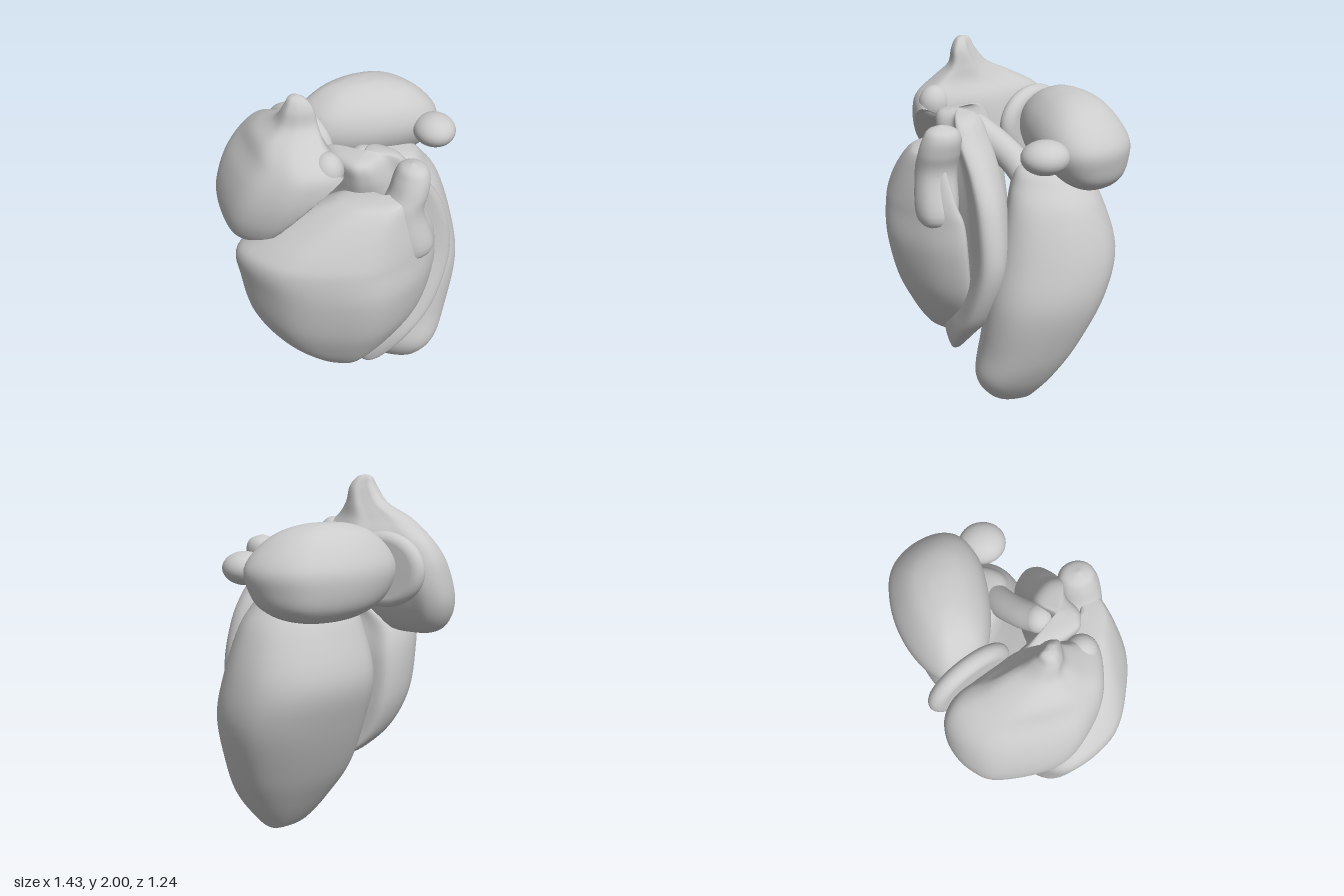
import * as THREE from 'three';
import { mergeVertices } from 'three/addons/utils/BufferGeometryUtils.js';

const material = new THREE.MeshStandardMaterial({ color: 0xcccccc, roughness: 0.8 });
const V = (x, y, z) => new THREE.Vector3(x, y, z);

// Smooth closed solid: a unit x/z outline, blending from lower to upper, fitted at each
// level to [y, x0, x1, z0, z1]. reshapeY(x, y, z) may return a new height for each point.
function loft(lower, upper, levels, reshapeY = (x, y) => y) {
  const steps = 6, around = 72;
  const [low, high] = [lower, upper].map((o) => new THREE.CatmullRomCurve3(o.map(([x, z]) => V(x, 0, z)), true, 'catmullrom'));
  const xs = new THREE.CatmullRomCurve3(levels.map((l) => V(l[1], l[0], l[2])), false, 'catmullrom');
  const zs = new THREE.CatmullRomCurve3(levels.map((l) => V(l[3], l[0], l[4])), false, 'catmullrom');
  const rows = (levels.length - 1) * steps;
  const pos = [], index = [];
  for (let i = 0; i <= rows; i++) {
    const t = i / rows, a = xs.getPoint(t), b = zs.getPoint(t);
    for (let j = 0; j < around; j++) {
      const p = low.getPoint(j / around).lerp(high.getPoint(j / around), t);
      const x = (a.x + a.z + (a.z - a.x) * p.x) / 2, z = (b.x + b.z + (b.z - b.x) * p.z) / 2;
      pos.push(x, reshapeY(x, a.y, z), z);
      if (i === rows) continue;
      const k = (j + 1) % around, r = i * around, s = r + around;
      index.push(r + j, s + j, r + k, r + k, s + j, s + k);
    }
  }
  let geo = new THREE.BufferGeometry();
  geo.setAttribute('position', new THREE.Float32BufferAttribute(pos, 3));
  geo.setIndex(index);
  geo = mergeVertices(geo, 1e-5);
  geo.computeVertexNormals();
  return geo;
}

function add(group, name, geo) {
  const mesh = new THREE.Mesh(geo, material);
  mesh.name = name;
  group.add(mesh);
  return mesh;
}

function knob(group, name, at, size) {
  const mesh = add(group, name, new THREE.SphereGeometry(1, 28, 18));
  mesh.position.set(...at);
  mesh.scale.set(...size);
}

export function createModel() {
  const heart = new THREE.Group();
  heart.name = 'heartChambers';
  const round = [[1, 0], [0.71, 0.71], [0, 1], [-0.71, 0.71], [-1, 0], [-0.71, -0.71], [0, -1], [0.71, -0.71]];

  // Large rear lower chamber, pointed at the bottom and squarer towards the outer back
  add(heart, 'leftVentricle', loft(
    [[1, 0], [0.85, 0.7], [0.4, 1], [-0.15, 0.85], [-0.7, 0.4], [-1, -0.2], [-0.75, -0.75], [-0.1, -0.98], [0.58, -0.99], [0.96, -0.72]],
    [[1, 0.15], [0.8, 0.75], [0.45, 1], [-0.1, 0.78], [-0.65, 0.32], [-1, -0.25], [-0.8, -0.75], [-0.25, -1], [0.33, -0.92], [0.8, -0.48]],
    [[0, 0.31, 0.31, 0, 0], [0.015, 0.22, 0.39, -0.07, 0.08], [0.06, 0.13, 0.44, -0.12, 0.17], [0.2, 0.02, 0.54, -0.22, 0.25],
      [0.4, -0.07, 0.63, -0.34, 0.23], [0.7, -0.1, 0.71, -0.48, 0.2], [0.95, -0.1, 0.69, -0.55, 0.14],
      [1.2, -0.05, 0.61, -0.49, 0.08], [1.33, 0, 0.52, -0.42, 0.04], [1.42, 0.1, 0.43, -0.29, -0.01], [1.45, 0.26, 0.26, -0.14, -0.14]]));

  // Bent outlet of the rear chamber
  const outlet = new THREE.CatmullRomCurve3([V(0.36, 1.3, -0.08), V(0.22, 1.41, -0.03), V(0.1, 1.5, 0.05), V(0.03, 1.56, 0.12)]);
  add(heart, 'leftOutflow', new THREE.TubeGeometry(outlet, 20, 0.08, 20));
  knob(heart, 'leftOutflowTip', [0.03, 1.56, 0.12], [0.08, 0.08, 0.08]);

  // Thick wall between the lower chambers, bending into an S towards its top
  add(heart, 'ventricularSeptum', loft(
    [[1, 0.45], [0.95, 0.88], [0.5, 1], [0.1, 0.9], [-0.25, 0.76], [-0.6, 0.35], [-0.95, -0.5], [-0.92, -1], [-0.7, -0.93], [-0.3, -0.4], [0.1, -0.05], [0.5, 0.15], [0.8, 0.25]],
    [[1, 0.13], [0.93, 0.64], [0.44, 0.59], [-0.05, 0.95], [-0.38, 1], [-0.7, 0.8], [-0.97, -0.13], [-0.93, -1], [-0.7, -0.9], [-0.48, -0.13], [-0.11, 0.08], [0.28, -0.44], [0.61, -0.49]],
    [[0.22, 0.02, 0.02, 0.24, 0.24], [0.24, -0.05, 0.08, 0.17, 0.3], [0.4, -0.14, 0.26, 0.05, 0.35], [0.6, -0.18, 0.43, -0.05, 0.34],
      [0.9, -0.2, 0.53, -0.12, 0.31], [1.2, -0.2, 0.48, -0.1, 0.31], [1.4, -0.18, 0.37, -0.06, 0.32],
      [1.55, -0.17, 0.25, -0.01, 0.34], [1.65, -0.15, 0.16, 0.06, 0.32], [1.68, 0, 0, 0.22, 0.22]]));

  // Front lower chamber, crescent-shaped around the wall
  const crescent = [[-0.18, -0.55], [0.1, -0.05], [0.57, 0.17], [1, 0.2], [0.76, 0.65], [0.2, 0.98], [-0.3, 0.83], [-0.74, 0.45], [-0.98, -0.3], [-0.76, -0.75], [-0.36, -0.92]];
  add(heart, 'rightVentricle', loft(crescent, crescent,
    [[0.3, -0.15, -0.15, 0.24, 0.24], [0.315, -0.28, -0.01, 0.1, 0.34], [0.37, -0.38, 0.08, 0, 0.4], [0.5, -0.53, 0.22, -0.1, 0.48],
      [0.7, -0.64, 0.335, -0.17, 0.57], [0.95, -0.69, 0.38, -0.18, 0.62], [1.13, -0.71, 0.37, -0.13, 0.61],
      [1.23, -0.62, 0.34, -0.03, 0.59], [1.36, -0.42, 0.28, 0.09, 0.55], [1.45, -0.25, 0.24, 0.19, 0.51],
      [1.48, -0.14, 0.2, 0.26, 0.47], [1.49, 0.04, 0.04, 0.38, 0.38]]));

  // Plump outlet rising from the front chamber
  add(heart, 'rightOutflow', loft(round, round,
    [[1.05, 0.17, 0.17, 0.42, 0.42], [1.15, 0.06, 0.32, 0.3, 0.52], [1.38, 0.03, 0.26, 0.28, 0.51], [1.5, 0.08, 0.285, 0.27, 0.5],
      [1.58, 0.11, 0.295, 0.27, 0.48], [1.63, 0.14, 0.27, 0.3, 0.45], [1.655, 0.2, 0.2, 0.38, 0.38]]));

  // Upper chamber on the right: raised peak, and a flat slanted opening on its underside
  const slantedFloor = (x, y, z) => Math.max(y, 1.17 + 0.8 * (x + 0.7) + 0.7 * (z - 0.3));
  add(heart, 'rightAtrium', loft(
    [[0.83, 1], [-0.1, 0.95], [-0.6, 0.79], [-1, 0.36], [-0.95, -0.53], [-0.6, -0.86], [-0.1, -1], [0.3, -0.95], [0.52, -0.75], [0.8, -0.38], [0.97, 0], [0.85, 0.5]],
    [[0.75, 0.95], [-0.05, 0.97], [-0.55, 0.75], [-0.92, 0.4], [-0.97, -0.25], [-0.7, -0.72], [-0.25, -1], [0.1, -0.9], [0.35, -0.6], [0.6, -0.3], [0.9, 0], [1, 0.5]],
    [[1.1, -0.5, -0.5, -0.2, -0.2], [1.12, -0.62, -0.38, -0.34, 0], [1.19, -0.69, -0.27, -0.42, 0.2], [1.3, -0.71, -0.19, -0.47, 0.3],
      [1.43, -0.69, -0.13, -0.48, 0.36], [1.56, -0.64, -0.13, -0.46, 0.38], [1.67, -0.57, -0.15, -0.39, 0.36],
      [1.76, -0.52, -0.2, -0.23, 0.25], [1.84, -0.43, -0.22, -0.07, 0.17], [1.93, -0.39, -0.24, 0.01, 0.15],
      [1.985, -0.36, -0.28, 0.04, 0.12], [2, -0.32, -0.32, 0.08, 0.08]], slantedFloor));
  knob(heart, 'rightAtriumCorner', [-0.23, 1.65, 0.28], [0.085, 0.1, 0.09]);

  // Round-rimmed oval disc between the upper chambers
  const rim = [[0, -0.05]];
  for (let i = 0; i <= 10; i++) {
    const t = (i / 10 - 0.5) * Math.PI;
    rim.push([0.16 + 0.05 * Math.cos(t), 0.05 * Math.sin(t)]);
  }
  rim.push([0, 0.05]);
  const disc = new THREE.LatheGeometry(rim.map(([r, y]) => new THREE.Vector2(r, y)), 48);
  disc.rotateZ(Math.PI / 2).scale(1, 1, 1.22).rotateY(0.45);
  add(heart, 'atrialSeptum', disc).position.set(-0.19, 1.5, -0.3);

  // Upper rear chamber with its side lobe
  add(heart, 'leftAtrium', loft(
    [[1, 0.3], [0.85, 0.75], [0.4, 1], [-0.3, 0.93], [-0.8, 0.6], [-1, -0.1], [-0.82, -0.5], [-0.4, -0.85], [0.1, -1], [0.6, -0.88], [0.9, -0.4]],
    [[1, 0.3], [0.8, 0.8], [0.35, 1], [-0.3, 0.93], [-0.8, 0.6], [-1, -0.1], [-0.82, -0.55], [-0.4, -0.88], [0.1, -1], [0.6, -0.85], [0.9, -0.35]],
    [[1.27, 0.26, 0.26, -0.42, -0.42], [1.285, 0.08, 0.46, -0.52, -0.31], [1.35, -0.08, 0.58, -0.59, -0.19], [1.45, -0.17, 0.63, -0.62, -0.12],
      [1.55, -0.19, 0.64, -0.62, -0.1], [1.65, -0.14, 0.57, -0.57, -0.13], [1.73, -0.04, 0.46, -0.5, -0.2],
      [1.77, 0.08, 0.33, -0.42, -0.28], [1.78, 0.2, 0.2, -0.35, -0.35]]));
  knob(heart, 'leftAtriumLobe', [0.54, 1.53, -0.07], [0.12, 0.09, 0.13]);

  return heart;
}
